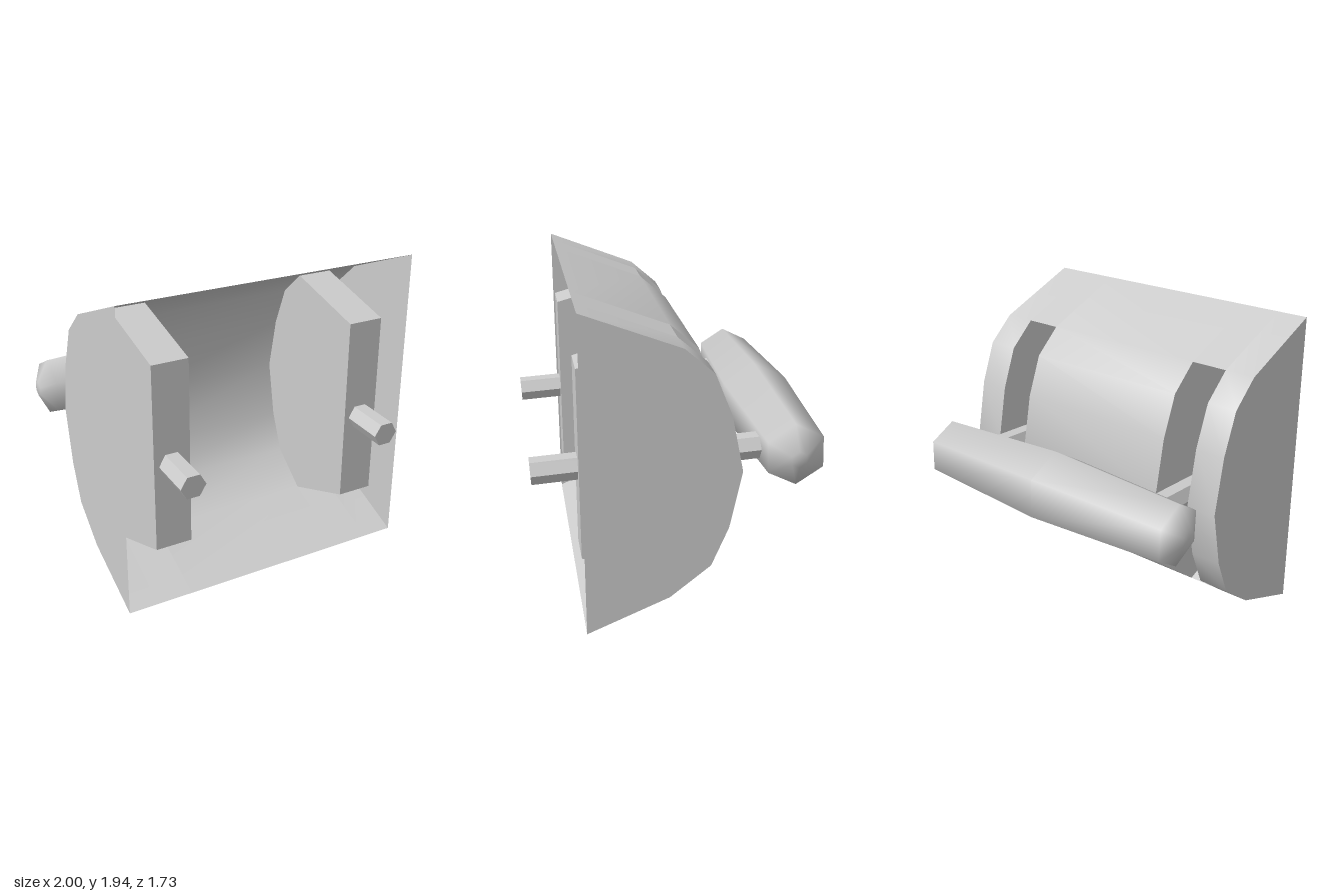
import * as THREE from 'three';

const smooth = new THREE.MeshStandardMaterial({ color: 0xcccccc, side: THREE.DoubleSide });
const flat = new THREE.MeshStandardMaterial({ color: 0xcccccc, side: THREE.DoubleSide, flatShading: true });

// Side profile of the shell as [z, y], from the top front edge round the back to the bottom front edge
const PROFILE = [
  [0.59, 1.94], [0.03, 1.72], [-0.14, 1.57], [-0.24, 1.32], [-0.31, 0.98],
  [-0.24, 0.63], [-0.14, 0.39], [0.1, 0.2], [0.59, 0],
];
const ARC = PROFILE.slice(1, -1);
// Inner wall of a slot channel, reaching forward to the shell's front plane
const CHANNEL_FRONT = [[0.03, 1.72], [0.59, 1.57], [0.59, 0.39], [0.1, 0.2]];
const LEFT_X = -0.94, RIGHT_X = 1;
const SLOTS = [[-0.75, -0.52], [0.57, 0.8]];
const TILT = 0.047;

// Open sheet: a [z, y] profile swept from x0 to x1
function ribbon(profile, x0, x1) {
  const pos = [], index = [];
  profile.forEach(([z, y], i) => {
    pos.push(x0, y, z, x1, y, z);
    if (i < profile.length - 1) {
      const a = i * 2, b = a + 1, c = a + 2, d = a + 3;
      index.push(b, d, c, b, c, a);
    }
  });
  const geo = new THREE.BufferGeometry();
  geo.setAttribute('position', new THREE.Float32BufferAttribute(pos, 3));
  geo.setIndex(index);
  geo.computeVertexNormals();
  return geo;
}

// Flat plate with a [z, y] outline standing at the given x
function plate(outline, x) {
  const shape = new THREE.Shape(outline.map(([z, y]) => new THREE.Vector2(-z, y)));
  return new THREE.ShapeGeometry(shape).rotateY(Math.PI / 2).translate(x, 0, 0);
}

function add(parent, name, geometry, material) {
  const mesh = new THREE.Mesh(geometry, material);
  mesh.name = name;
  parent.add(mesh);
  return mesh;
}

export function createModel() {
  const model = new THREE.Group();
  model.name = 'slottedDrumWithHandle';

  // Curved shell, open at the front, with flat end plates
  const shell = new THREE.Group();
  shell.name = 'shell';
  model.add(shell);
  const edges = [LEFT_X, ...SLOTS.flat(), RIGHT_X];
  for (let i = 0; i < edges.length; i += 2) {
    add(shell, 'shellBand', ribbon(PROFILE, edges[i], edges[i + 1]), smooth);
  }
  for (const x of [LEFT_X, RIGHT_X]) add(shell, 'endPlate', plate(PROFILE, x), flat);

  for (const [x0, x1] of SLOTS) {
    // Shell above and below the slot
    add(shell, 'slotTop', ribbon(PROFILE.slice(0, 2), x0, x1), smooth);
    add(shell, 'slotBottom', ribbon(PROFILE.slice(-2), x0, x1), smooth);

    // Recessed channel behind the slot
    const channel = new THREE.Group();
    channel.name = 'slotChannel';
    model.add(channel);
    add(channel, 'channelFront', ribbon(CHANNEL_FRONT, x0, x1), flat);
    const wall = [...ARC, [0.59, 0.39], [0.59, 1.57]];
    for (const x of [x0, x1]) add(channel, 'channelWall', plate(wall, x), flat);

    // Hexagonal rod through the channel, holding the handle
    const rod = new THREE.CylinderGeometry(0.08, 0.08, 1.5, 6).rotateY(Math.PI / 2).rotateX(Math.PI / 2 + TILT);
    add(model, 'rod', rod, flat).position.set((x0 + x1) / 2 - 0.003, 0.96, 0.11);
  }

  // Six-sided handle, thickest in the middle, with bevelled ends
  const half = [[0, -0.975], [0.05, -0.975], [0.19, -0.905]];
  const points = [...half, [0.237, 0], ...half.map(([r, l]) => [r, -l]).reverse()];
  const handle = new THREE.LatheGeometry(points.map(([r, l]) => new THREE.Vector2(r, l)), 6)
    .rotateY(Math.PI / 2).rotateZ(-Math.PI / 2).rotateX(TILT);
  add(model, 'handle', handle, smooth).position.set(-0.025, 1, -0.652);

  return model;
}
